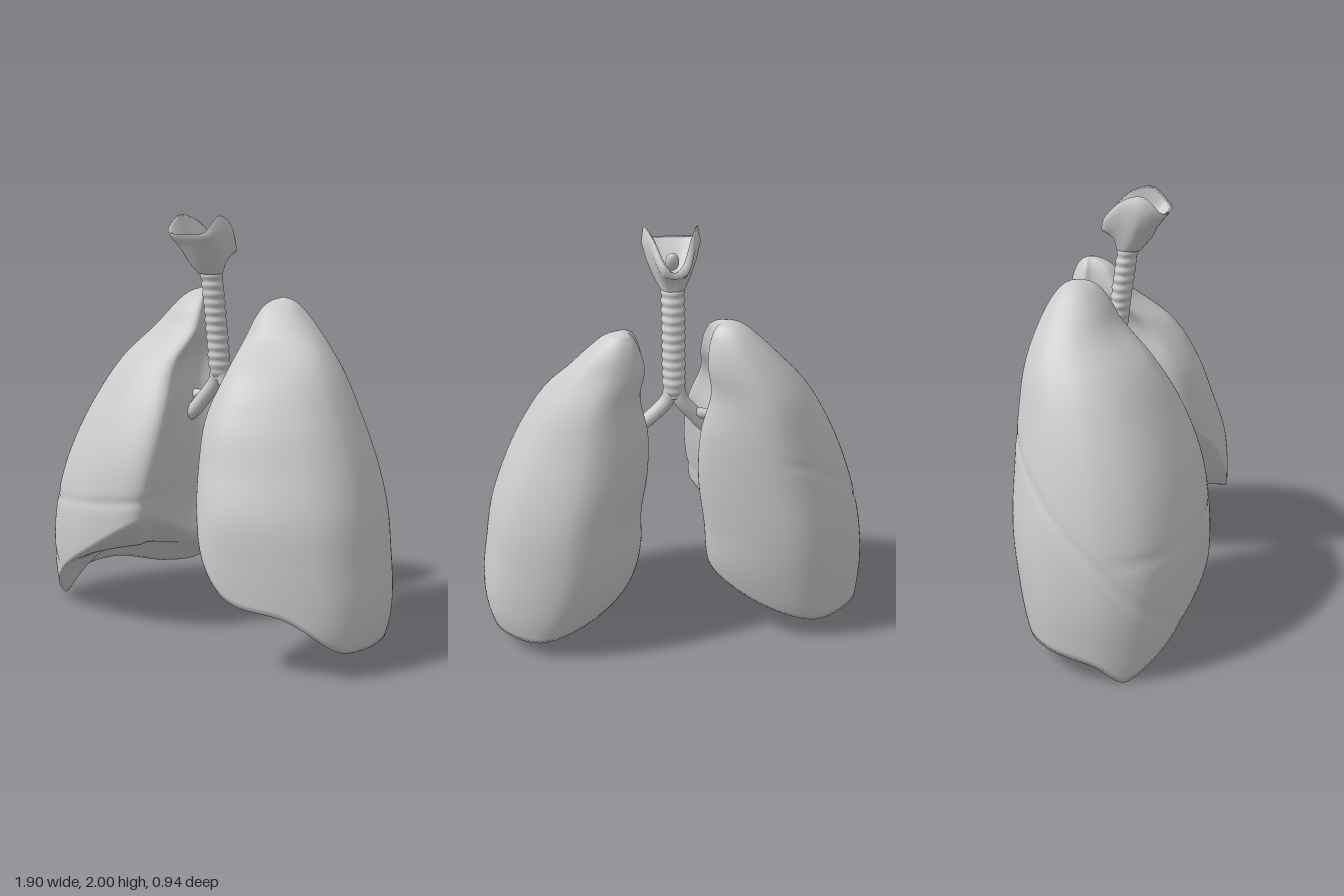
import * as THREE from 'three';

const grey = new THREE.MeshStandardMaterial({ color: 0xcccccc });
const greyOpen = new THREE.MeshStandardMaterial({ color: 0xcccccc, side: THREE.DoubleSide });
const V = (x, y, z) => new THREE.Vector3(x, y, z);

// Skin a stack of closed rings (each an array of Vector3, same length)
function loft(rings, flip = false) {
  const n = rings[0].length, index = [];
  for (let i = 0; i < rings.length - 1; i++) {
    for (let j = 0; j < n; j++) {
      const a = i * n + j, b = i * n + (j + 1) % n, c = a + n, d = b + n;
      if (flip) index.push(a, b, c, b, d, c);
      else index.push(a, c, b, b, c, d);
    }
  }
  const geo = new THREE.BufferGeometry().setFromPoints(rings.flat());
  geo.setIndex(index);
  geo.computeVertexNormals();
  return geo;
}

function add(group, name, geo, mat = grey) {
  const mesh = new THREE.Mesh(geo, mat);
  mesh.name = name;
  group.add(mesh);
  return mesh;
}

// Lung: outline = [medial-to-lateral, back-to-front, lower margin height],
// levels = [height, medial x, lateral x, back z, front z], base = dome centre
function lungGeometry({ side, outline, levels, base, fissure }) {
  const COLS = 120, ROWS = 80, BASE = 14;
  const curve = new THREE.CatmullRomCurve3(outline.map(p => V(...p)), true, 'centripetal');
  const around = Array.from({ length: COLS }, (_, j) => curve.getPoint(j / COLS));
  const size = new THREE.CubicInterpolant(
    levels.map(l => l[0]), levels.flatMap(l => l.slice(1)), 4, new Float32Array(4));
  const top = levels[levels.length - 1][0];
  const centre = V(...base);

  const wall = ({ x: u, y: v, z: margin }, t) => {
    const y = top + (margin - top) * Math.pow(t, 1.6);
    const [m, l, zb, zf] = size.evaluate(Math.max(y, levels[0][0]));
    const p = V(m + (l - m) * u, y, zb + (zf - zb) * v);
    const dent = fissure ? fissure(u, v, y) : 0;
    p.x += (centre.x - p.x) * dent;
    p.z += (centre.z - p.z) * dent;
    return p;
  };

  const rings = [];
  for (let i = 0; i <= ROWS; i++) rings.push(around.map(a => wall(a, i / ROWS)));
  const rim = rings[ROWS];
  // hollow underside that rests on the diaphragm
  for (let i = 1; i <= BASE; i++) {
    const s = 1 - i / BASE;
    rings.push(rim.map(p => V(
      centre.x + (p.x - centre.x) * s,
      p.y + (centre.y - p.y) * (1 - s * s),
      centre.z + (p.z - centre.z) * s)));
  }
  rings.flat().forEach(p => { p.x *= side; });
  return loft(rings, side < 0);
}

const groove = (d, w) => Math.exp(-(d * d) / (w * w));

const rightLung = {
  side: -1,
  base: [0.5, 0.33, 0.02],
  outline: [
    [0, 0.9, 0.58], [0.3, 1, 0.41], [0.62, 0.94, 0.23], [0.84, 0.82, 0.07], [0.95, 0.69, 0],
    [1, 0.48, 0.09], [0.92, 0.2, 0.12], [0.6, 0, 0.11], [0.24, 0.08, 0.2],
    [0.02, 0.28, 0.36], [0.1, 0.47, 0.45], [0.07, 0.7, 0.54]],
  levels: [
    [0, 0.33, 0.93, -0.27, 0.36], [0.1, 0.27, 0.94, -0.32, 0.41], [0.35, 0.15, 0.95, -0.38, 0.46],
    [0.6, 0.12, 0.915, -0.41, 0.46], [0.85, 0.09, 0.84, -0.41, 0.41], [1.1, 0.1, 0.73, -0.4, 0.3],
    [1.3, 0.145, 0.61, -0.38, 0.17], [1.45, 0.13, 0.48, -0.34, 0.02], [1.56, 0.145, 0.37, -0.29, -0.05],
    [1.61, 0.17, 0.31, -0.25, -0.1], [1.63, 0.195, 0.27, -0.22, -0.14], [1.64, 0.23, 0.23, -0.18, -0.18]],
  // horizontal fissure across the front, oblique fissure down the outer side
  fissure: (u, v, y) =>
    (v > 0.5 ? 0.016 * Math.min(1, (v - 0.5) * 5) * groove(y - 0.67 + 0.1 * u, 0.02) : 0) +
    (u > 0.5 ? 0.016 * Math.min(1, (u - 0.5) * 4) * groove(y - 1.0 + 0.85 * v, 0.025) : 0),
};

const leftLung = {
  side: 1,
  base: [0.53, 0.33, 0.02],
  outline: [
    [0.02, 0.84, 0.78], [0.13, 0.95, 0.67], [0.36, 1, 0.36], [0.7, 0.87, 0.28], [0.94, 0.68, 0.13],
    [1, 0.5, 0.11], [0.9, 0.18, 0.1], [0.5, 0, 0.1], [0.15, 0.1, 0.2],
    [0, 0.3, 0.38], [0.05, 0.45, 0.46], [0.05, 0.64, 0.62]],
  levels: [
    [0.1, 0.38, 0.92, -0.38, 0.39], [0.18, 0.31, 0.94, -0.41, 0.42], [0.3, 0.23, 0.945, -0.44, 0.44],
    [0.5, 0.175, 0.92, -0.465, 0.45], [0.7, 0.17, 0.885, -0.47, 0.43], [0.9, 0.14, 0.82, -0.455, 0.37],
    [1.1, 0.135, 0.73, -0.42, 0.3], [1.3, 0.17, 0.61, -0.38, 0.17], [1.44, 0.15, 0.49, -0.34, -0.01],
    [1.54, 0.175, 0.39, -0.31, -0.08], [1.59, 0.2, 0.33, -0.28, -0.13], [1.61, 0.22, 0.29, -0.255, -0.18],
    [1.62, 0.25, 0.25, -0.22, -0.22]],
};

// Symmetric closed ring from points of its left half, front to back
function mirroredRing(half) {
  const other = half.slice(1, -1).reverse().map(([x, y, z]) => [-x, y, z]);
  return new THREE.CatmullRomCurve3([...half, ...other].map(p => V(...p)), true).getPoints(64).slice(0, 64);
}

function createLarynx(group) {
  const halves = [
    // inside, from the airway up
    [[0, 1.76, 0.05], [0.03, 1.76, 0.04], [0.035, 1.76, 0.02], [0.03, 1.76, 0], [0.02, 1.76, -0.02], [0, 1.76, -0.02]],
    [[0, 1.86, 0.13], [0.07, 1.86, 0.12], [0.085, 1.87, 0.07], [0.07, 1.87, 0], [0.03, 1.83, -0.07], [0, 1.82, -0.07]],
    [[0, 1.915, 0.19], [0.1, 1.925, 0.165], [0.112, 1.985, 0.1], [0.085, 1.965, 0.01], [0.035, 1.865, -0.085], [0, 1.835, -0.085]],
    // rim
    [[0, 1.92, 0.21], [0.115, 1.93, 0.18], [0.122, 2, 0.1], [0.1, 1.975, 0], [0.05, 1.87, -0.1], [0, 1.84, -0.1]],
    // outside, down to the windpipe
    [[0, 1.885, 0.18], [0.12, 1.9, 0.155], [0.137, 1.93, 0.09], [0.105, 1.92, 0], [0.055, 1.83, -0.105], [0, 1.81, -0.1]],
    [[0, 1.84, 0.145], [0.085, 1.84, 0.12], [0.115, 1.85, 0.07], [0.09, 1.84, 0], [0.045, 1.81, -0.08], [0, 1.8, -0.08]],
    [[0, 1.79, 0.12], [0.06, 1.785, 0.1], [0.088, 1.785, 0.05], [0.075, 1.785, 0], [0.04, 1.785, -0.05], [0, 1.785, -0.05]],
    [[0, 1.73, 0.07], [0.04, 1.73, 0.055], [0.058, 1.73, 0.015], [0.045, 1.73, -0.02], [0.025, 1.73, -0.04], [0, 1.73, -0.042]],
  ];
  add(group, 'larynx', loft(halves.map(mirroredRing)), greyOpen);
  const flap = add(group, 'epiglottis', new THREE.SphereGeometry(0.04, 24, 16));
  flap.scale.set(0.8, 1.2, 0.6);
  flap.position.set(0, 1.85, 0.03);
  flap.rotation.x = -0.4;
}

function createAirway(group) {
  // windpipe with cartilage ripples
  const rings = [];
  for (let i = 0; i <= 110; i++) {
    const t = i / 110, y = 1.77 - 0.55 * t;
    const z = 0.018 - 0.075 * Math.pow(t, 0.8);
    const r = (0.054 + 0.003 * Math.sin(t * 13 * Math.PI * 2)) * (t > 0.9 ? 1 - (t - 0.9) * 3 : 1);
    rings.push(Array.from({ length: 32 }, (_, j) => {
      const a = j / 32 * Math.PI * 2;
      return V(r * Math.cos(a), y, z - r * 0.88 * Math.sin(a));
    }));
  }
  add(group, 'trachea', loft(rings));

  // main bronchi and their first branches
  const tube = (name, r, ...pts) => add(group, name,
    new THREE.TubeGeometry(new THREE.CatmullRomCurve3(pts.map(p => V(...p))), 32, r, 20));
  tube('rightBronchus', 0.036, [-0.012, 1.29, -0.05], [-0.03, 1.21, -0.055], [-0.09, 1.13, -0.045], [-0.16, 1.05, -0.03], [-0.25, 1.0, -0.02]);
  tube('rightBronchusBranch', 0.025, [-0.08, 1.14, -0.045], [-0.14, 1.13, -0.06], [-0.24, 1.13, -0.06]);
  tube('leftBronchus', 0.034, [0.012, 1.29, -0.05], [0.03, 1.21, -0.055], [0.09, 1.14, -0.055], [0.16, 1.08, -0.05], [0.25, 1.03, -0.04]);
}

export function createModel() {
  const model = new THREE.Group();
  model.name = 'respiratorySystem';
  add(model, 'rightLung', lungGeometry(rightLung));
  add(model, 'leftLung', lungGeometry(leftLung));
  createAirway(model);
  createLarynx(model);
  return model;
}
